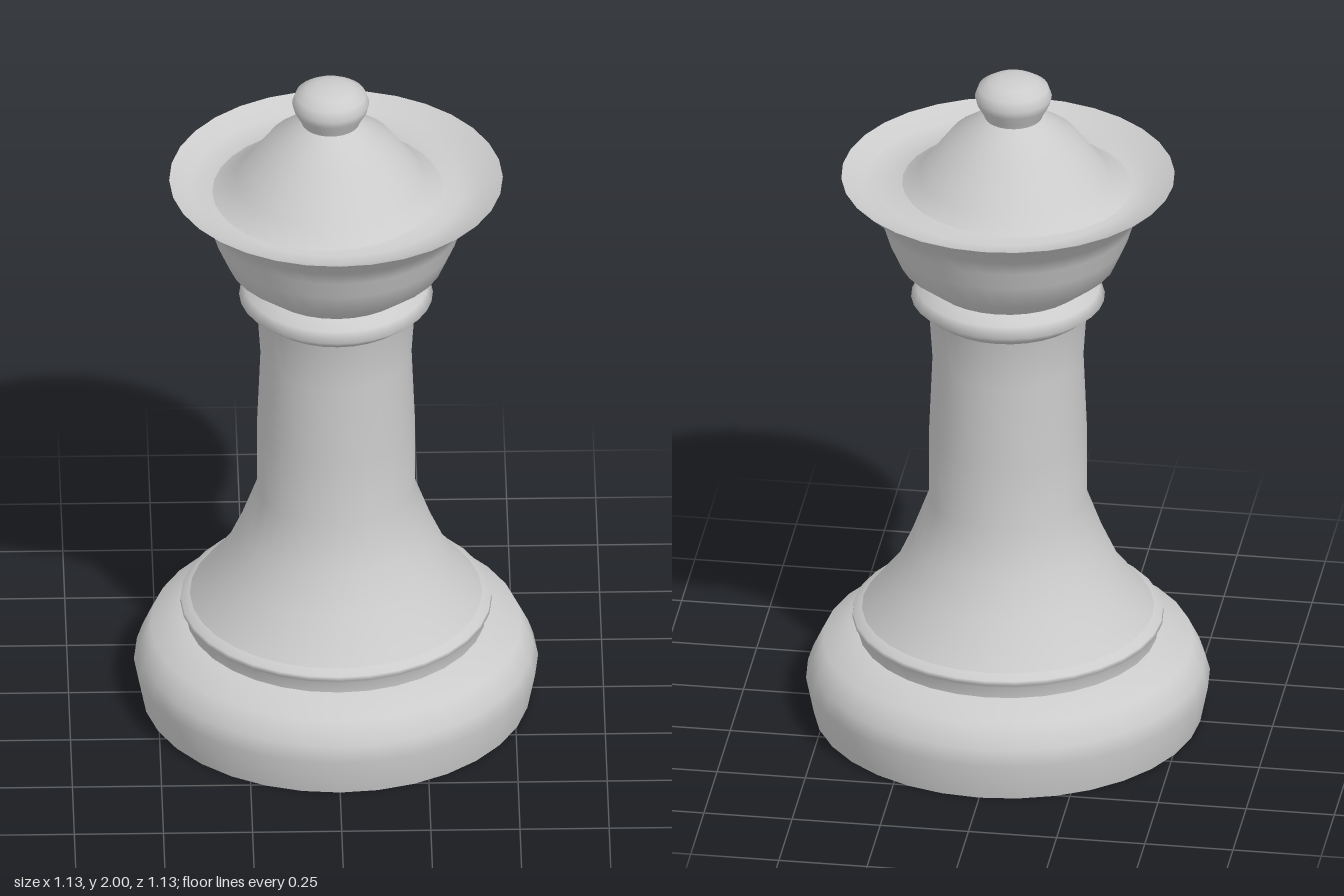
import * as THREE from 'three';

const SEGMENTS = 32;
const material = new THREE.MeshStandardMaterial({ color: 0xcccccc, side: THREE.DoubleSide });

// Turned part: [radius, height] pairs, listed bottom to top along the outside
function turned(name, profile, x = 0, z = 0) {
  const points = profile.map(([r, y]) => new THREE.Vector2(r, y));
  const mesh = new THREE.Mesh(new THREE.LatheGeometry(points, SEGMENTS), material);
  mesh.name = name;
  mesh.position.set(x, 0, z);
  return mesh;
}

export function createModel() {
  const group = new THREE.Group();
  group.name = 'chessQueen';

  group.add(
    turned('underside', [[0, 0], [0.545, 0]]),
    // Heavy rounded foot
    turned('foot', [[0.545, 0], [0.567, 0.11], [0.552, 0.155], [0.52, 0.22], [0.43, 0.252], [0.4, 0.255]]),
    // Thin overhanging bead above the foot
    turned('footBead', [[0.42, 0.24], [0.422, 0.285], [0.437, 0.3], [0.435, 0.312], [0.41, 0.325]]),
    // Flared stem
    turned('stem', [[0.41, 0.325], [0.32, 0.44], [0.27, 0.55], [0.222, 0.68], [0.222, 0.88],
      [0.212, 1.12], [0.222, 1.27], [0.24, 1.285]]),
    turned('neckRing', [[0.222, 1.27], [0.245, 1.288], [0.272, 1.312], [0.257, 1.342], [0.22, 1.365]]),
    // Flaring crown cup, outside then the shallow dish inside its rim
    turned('crownCup', [[0.22, 1.362], [0.305, 1.43], [0.338, 1.505], [0.355, 1.56], [0.375, 1.605], [0.468, 1.69]]),
    turned('crownDish', [[0.468, 1.69], [0.41, 1.66], [0.355, 1.652], [0.3, 1.665], [0.24, 1.68]]),
    // Dome and finial sit slightly off the axis
    turned('dome', [[0.335, 1.652], [0.265, 1.695], [0.18, 1.81], [0.085, 1.877], [0.07, 1.885]], -0.015, 0.005),
    turned('finial', [[0.078, 1.87], [0.085, 1.89], [0.102, 1.92], [0.108, 1.942], [0.098, 1.97],
      [0.07, 1.988], [0.04, 1.998], [0, 2]], -0.015, 0.002),
  );
  return group;
}
